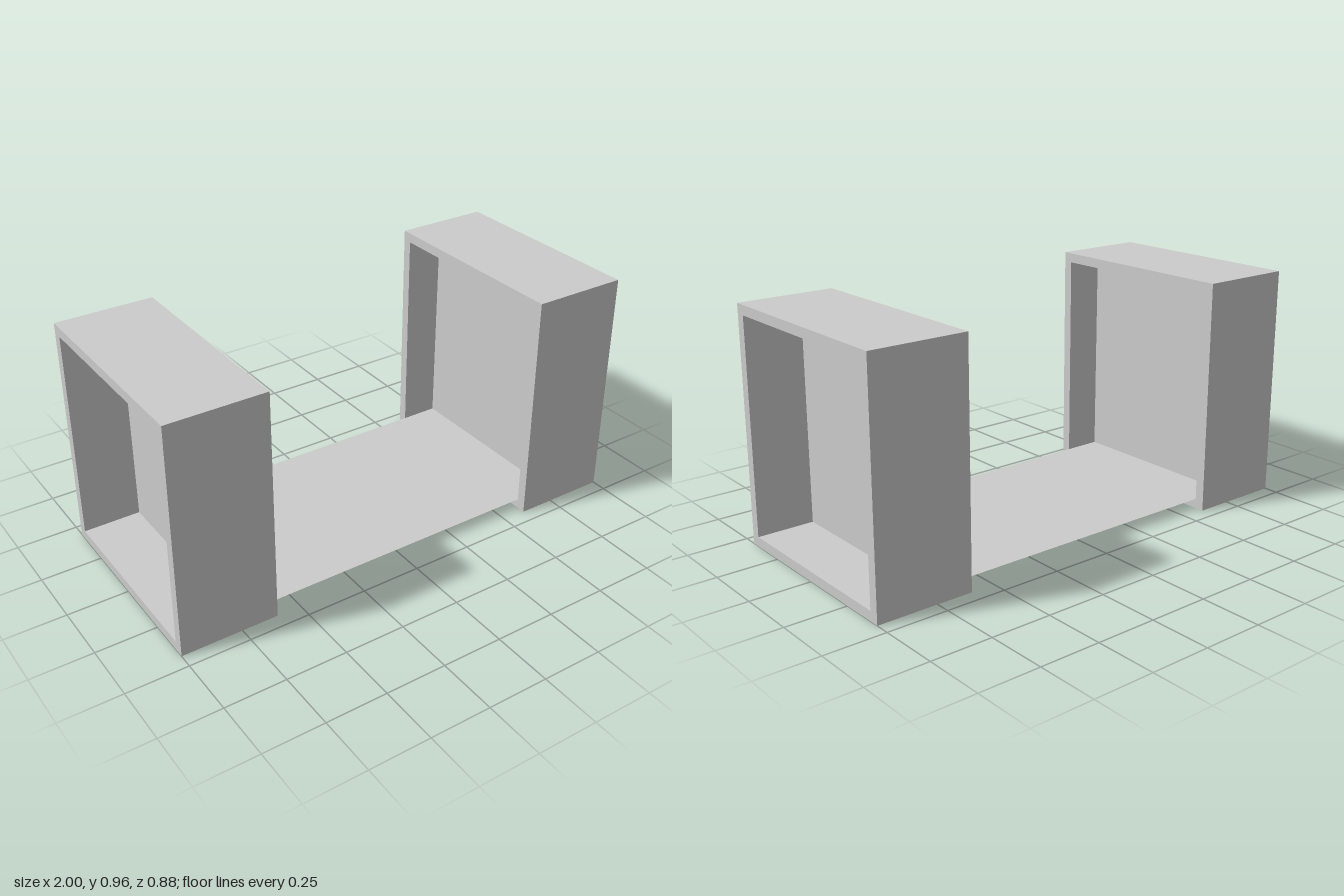
import * as THREE from 'three';

const H = 0.96, D = 0.88, W = 0.4, T = 0.04; // frame height, depth, width, wall thickness
const INNER_X = 0.6, DIVIDER_X = 0.76;

const solid = new THREE.MeshStandardMaterial({ color: 0xcccccc, flatShading: true });
const sheet = new THREE.MeshStandardMaterial({ color: 0xcccccc, flatShading: true, side: THREE.DoubleSide });

function rectangle(PathType, w, y0, y1) {
  const p = new PathType();
  p.moveTo(-w / 2, y0);
  p.lineTo(w / 2, y0);
  p.lineTo(w / 2, y1);
  p.lineTo(-w / 2, y1);
  p.closePath();
  return p;
}

function add(parent, name, geometry, material) {
  const mesh = new THREE.Mesh(geometry, material);
  mesh.name = name;
  parent.add(mesh);
  return mesh;
}

// Rectangular frame open on both sides, with a thin divider inside
function endBox(name, side) {
  const box = new THREE.Group();
  box.name = name;

  const outline = rectangle(THREE.Shape, D, 0, H);
  outline.holes.push(rectangle(THREE.Path, D - 2 * T, T, H - T));
  const frame = new THREE.ExtrudeGeometry(outline, { depth: W, bevelEnabled: false });
  frame.rotateY(Math.PI / 2); // extrude along x
  add(box, 'frame', frame, solid).position.x = side > 0 ? INNER_X : -INNER_X - W;

  const panel = new THREE.PlaneGeometry(D - 2 * T, H - 2 * T).rotateY(side * Math.PI / 2);
  add(box, 'divider', panel, sheet).position.set(side * DIVIDER_X, H / 2, 0);
  return box;
}

export function createModel() {
  const model = new THREE.Group();
  model.name = 'bench';
  model.add(endBox('leftBox', 1), endBox('rightBox', -1));

  // Thin plate level with the inner floors of both boxes
  const plate = new THREE.PlaneGeometry(2 * INNER_X, D - 2 * T).rotateX(-Math.PI / 2);
  add(model, 'floorPlate', plate, sheet).position.y = T;
  return model;
}
